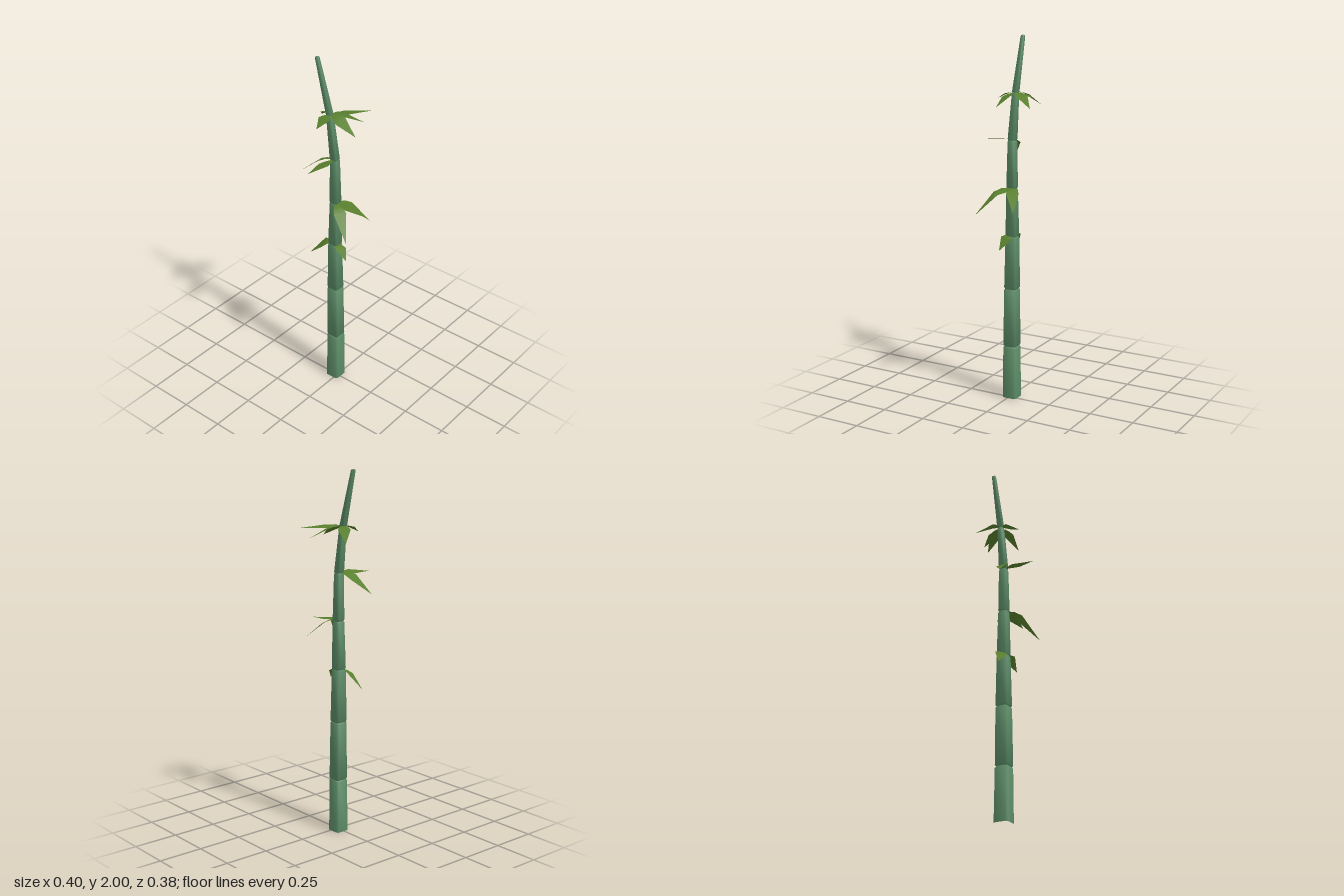
import * as THREE from 'three';
import { toCreasedNormals } from 'three/addons/utils/BufferGeometryUtils.js';

// Stalk joints: height, centre x, half width
const JOINTS = [
  [0, -0.017, 0.041], [0.3, -0.015, 0.038], [0.63, -0.018, 0.035], [0.925, -0.02, 0.03],
  [1.19, -0.017, 0.025], [1.45, -0.021, 0.021], [1.7, -0.054, 0.016], [2, -0.135, 0.01],
];
const STALK_Z = -0.007;

// Leaves grouped by the joint they grow from: tip x, y, z and sideways roll
const LEAVES = {
  3: [[-0.16, 0.83, 0.04, 0.3], [0.08, 0.86, 0.02, 0.24]],
  4: [[0.16, 1.06, 0.122, 0], [0.145, 1.09, -0.102, 0], [0.2, 1.18, -0.005, 0]],
  5: [[-0.04, 1.445, 0.188, -0.2], [-0.2, 1.35, 0.068, -0.28]],
  6: [[0.077, 1.695, -0.19, 0.15], [0.127, 1.64, 0.01, -0.25],
    [0.055, 1.635, -0.153, 0], [-0.18, 1.63, -0.095, 0], [-0.05, 1.665, 0.105, 0]],
};

// One internode: a square tube with cut corners, pinched at its joints and slanted between them
function internode([y0, x0, r0], [y1, x1, r1], first, last) {
  const lip = 0.008;
  const profile = [[r0, first ? y0 : y0 + lip], [r1, y1 - lip], [r1 * 0.86, y1]];
  if (!first) profile.unshift([r0 * 0.86, y0]);
  if (last) profile.push([0, y1]);
  const geo = new THREE.LatheGeometry(profile.map(([r, y]) => new THREE.Vector2(r, y)), 8, Math.PI / 8);
  const pos = geo.attributes.position;
  for (let i = 0; i < pos.count; i++) {
    const x = pos.getX(i), y = pos.getY(i), z = pos.getZ(i);
    const r = Math.hypot(x, z);
    const square = (v) => Math.sign(v) * r * (Math.abs(v) > r * 0.6 ? 1 : 0.77);
    const centre = THREE.MathUtils.lerp(x0, x1, (y - y0) / (y1 - y0));
    pos.setXYZ(i, centre + square(x), y, STALK_Z + square(z));
  }
  return toCreasedNormals(geo, 1.1);
}

// Pointed leaf that leaves the stalk level, widens, then droops to its tip
function leafGeometry(base, tip, roll) {
  const dir = tip.clone().sub(base);
  const side = new THREE.Vector3(-dir.z, 0, dir.x).normalize().setY(roll);
  const sections = [[0, 0, 0.006], [0.18, 0.02, 0.022], [0.38, 0.16, 0.034], [1, 1, 0]];
  const verts = [], index = [];
  sections.forEach(([along, drop, half], i) => {
    const c = new THREE.Vector3(base.x + dir.x * along, base.y + dir.y * drop, base.z + dir.z * along);
    for (const s of [1, -1]) verts.push(...c.clone().addScaledVector(side, s * half).toArray());
    const a = i * 2;
    if (i < sections.length - 1) index.push(a, a + 1, a + 2);
    if (i < sections.length - 2) index.push(a + 1, a + 3, a + 2);
  });
  const geo = new THREE.BufferGeometry();
  geo.setAttribute('position', new THREE.Float32BufferAttribute(verts, 3));
  geo.setIndex(index);
  geo.computeVertexNormals();
  return geo;
}

export function createModel() {
  const model = new THREE.Group();
  model.name = 'bambooPlant';
  const stalkGreen = new THREE.MeshStandardMaterial({ color: 0x588763 });
  stalkGreen.name = 'stalkGreen';
  const leafGreen = new THREE.MeshStandardMaterial({ color: 0x587f2d, side: THREE.DoubleSide });
  leafGreen.name = 'leafGreen';

  // Stalk, open at the bottom
  const stalk = new THREE.Group();
  stalk.name = 'stalk';
  for (let i = 0; i < JOINTS.length - 1; i++) {
    const geo = internode(JOINTS[i], JOINTS[i + 1], i === 0, i === JOINTS.length - 2);
    const mesh = new THREE.Mesh(geo, stalkGreen);
    mesh.name = `internode${i + 1}`;
    stalk.add(mesh);
  }
  model.add(stalk);

  // Leaf clusters
  for (const [joint, leaves] of Object.entries(LEAVES)) {
    const [y, x, r] = JOINTS[joint];
    const cluster = new THREE.Group();
    cluster.name = `leafCluster${joint}`;
    leaves.forEach(([tx, ty, tz, roll], i) => {
      const tip = new THREE.Vector3(tx, ty, tz);
      const out = new THREE.Vector3(tx - x, 0, tz - STALK_Z).setLength(r * 0.7);
      const base = new THREE.Vector3(x, y + 0.004, STALK_Z).add(out);
      const leaf = new THREE.Mesh(leafGeometry(base, tip, roll), leafGreen);
      leaf.name = `leaf${i + 1}`;
      cluster.add(leaf);
    });
    model.add(cluster);
  }
  return model;
}
